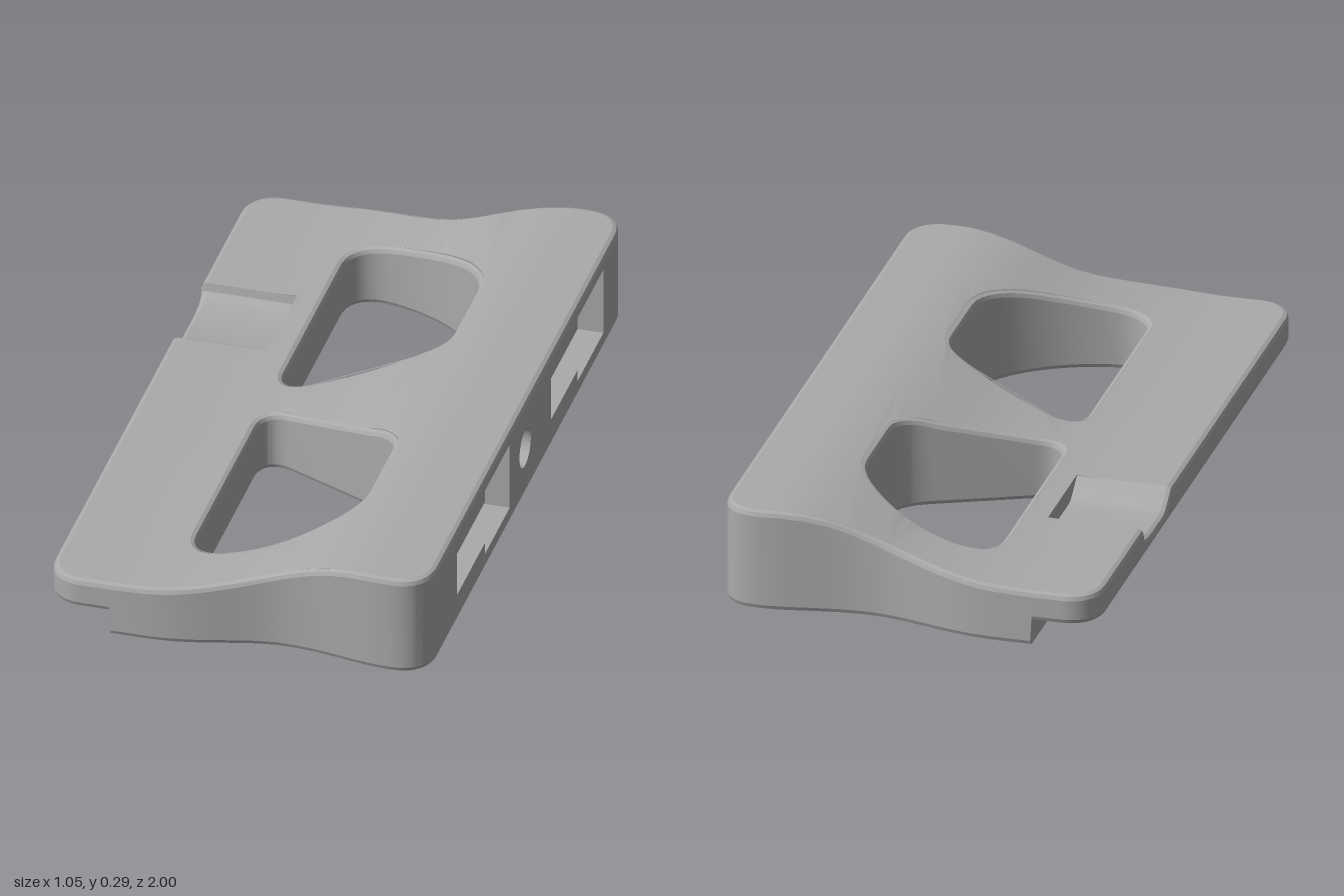
import * as THREE from 'three';
import { mergeGeometries, toCreasedNormals } from 'three/addons/utils/BufferGeometryUtils.js';

const V = (x, y) => new THREE.Vector2(x, y);
const R = 0.015; // edge rounding
const XL = -0.53, XR = 0.525, NOTCH_X = -0.265;

// Height profiles as [position, height]
const TOP = [[-0.32, 0.158], [-0.24, 0.162], [-0.16, 0.17], [-0.08, 0.182], [0, 0.198], [0.06, 0.214],
  [0.12, 0.234], [0.18, 0.255], [0.24, 0.272], [0.3, 0.283], [0.36, 0.288]];
const BOTTOM = [[-0.352, 0.073], [-0.348, 0.003]].map(([x, y]) => [x, y < 0.01 ? 0 : y]);
const NOTCH = [[-0.525, 0.158], [-0.52, 0.135], [-0.5, 0.119], [-0.46, 0.112], [-0.42, 0.11],
  [-0.32, 0.11], [-0.3, 0.115], [-0.27, 0.135], [-0.24, 0.158]];

function lookup(table, x) {
  if (x <= table[0][0]) return table[0][1];
  for (let i = 1; i < table.length; i++) {
    const [a, ya] = table[i - 1], [b, yb] = table[i];
    if (x <= b) return ya + (yb - ya) * (x - a) / (b - a);
  }
  return table[table.length - 1][1];
}
const topY = (x, z) => (x < XL + 0.01 && z >= -0.525 && z <= -0.24 ? lookup(NOTCH, z) : lookup(TOP, x));
const bottomY = x => lookup(BOTTOM, x);

function fromTriangles(pos) {
  const g = new THREE.BufferGeometry();
  g.setAttribute('position', new THREE.Float32BufferAttribute(pos, 3));
  return g;
}
const quad = (pos, a, b, c, d) => pos.push(...a, ...b, ...c, ...a, ...c, ...d);

// Move a closed loop towards its left side
function inset(loop, d) {
  const n = loop.length;
  return loop.map((p, i) => {
    const a = p.clone().sub(loop[(i + n - 1) % n]).normalize();
    const b = loop[(i + 1) % n].clone().sub(p).normalize();
    const t = a.add(b).normalize();
    return V(p.x - t.y * d, p.y + t.x * d);
  });
}

// Flat region cut into slabs along x so that it can follow a height profile
function cap(contour, holes, table, up) {
  const pts = [contour, ...holes].flat();
  const cuts = [-2, ...table.map(t => t[0]), 2], pos = [];
  const clip = (poly, x, s) => poly.flatMap((p, i) => {
    const q = poly[(i + 1) % poly.length], dp = (p.x - x) * s, dq = (q.x - x) * s;
    const out = dp >= 0 ? [p] : [];
    if (dp * dq < 0) out.push(p.clone().lerp(q, dp / (dp - dq)));
    return out;
  });
  for (const face of THREE.ShapeUtils.triangulateShape(contour, holes)) {
    let tri = face.map(i => pts[i]);
    if (THREE.ShapeUtils.area(tri) < 0) tri.reverse();
    if (up) tri.reverse();
    for (let k = 1; k < cuts.length; k++) {
      const poly = clip(clip(tri, cuts[k - 1], 1), cuts[k], -1);
      for (let i = 2; i < poly.length; i++)
        for (const p of [poly[0], poly[i - 1], poly[i]]) pos.push(p.x, lookup(table, p.x), p.y);
    }
  }
  return fromTriangles(pos);
}

// Upright wall with rounded top and bottom edges
function wall(loop) {
  const k = R * 0.293;
  const levels = [[R, 0, 0], [k, k, 0], [0, R, 0], [0, R, 1], [k, k, 1], [R, 0, 1]];
  const rings = levels.map(([d, dy, isTop]) => inset(loop, d).map((p, i) => {
    const o = loop[i];
    return [p.x, isTop ? topY(o.x, o.y) - dy : bottomY(o.x) + dy, p.y];
  }));
  const pos = [], n = loop.length;
  for (let l = 0; l < 5; l++)
    for (let i = 0; i < n; i++) {
      const j = (i + 1) % n;
      const slotted = l === 2 && loop[i].x === XR && loop[j].x === XR;
      if (!slotted) quad(pos, rings[l][i], rings[l + 1][i], rings[l + 1][j], rings[l][j]);
    }
  return fromTriangles(pos);
}

// Blind recess with floor, sunk from the local z = 0 plane
function recess(points, depth) {
  const pos = [];
  points.forEach((a, i) => {
    const b = points[(i + 1) % points.length];
    quad(pos, [a.x, a.y, 0], [b.x, b.y, 0], [b.x, b.y, -depth], [a.x, a.y, -depth]);
  });
  const floor = new THREE.ShapeGeometry(new THREE.Shape(points)).toNonIndexed().translate(0, 0, -depth);
  floor.deleteAttribute('uv');
  floor.deleteAttribute('normal');
  return mergeGeometries([fromTriangles(pos), floor]);
}

// Outline in (x, z): one half, the notched left edge, then the mirrored half
function makeOutline() {
  const s = new THREE.Shape();
  s.moveTo(XR, 0.86);
  s.bezierCurveTo(XR, 0.93, 0.49, 0.97, 0.42, 0.97);
  s.bezierCurveTo(0.32, 0.97, 0.24, 0.935, 0.12, 0.935);
  s.bezierCurveTo(0, 0.935, -0.1, 1, -0.26, 1);
  s.lineTo(-0.348, 1);
  s.lineTo(-0.352, 1);
  s.lineTo(-0.43, 1);
  s.bezierCurveTo(-0.49, 1, XL, 0.96, XL, 0.89);
  const half = s.getPoints(14);
  const edge = NOTCH.map(([z]) => V(XL, z)).reverse();
  return [...half, ...edge, ...half.map(p => V(p.x, -p.y)).reverse()];
}

// Window opening on the +z side
function makeWindow() {
  const s = new THREE.Shape();
  s.moveTo(-0.19, 0.14);
  s.bezierCurveTo(-0.19, 0.09, -0.16, 0.065, -0.105, 0.088);
  s.lineTo(0.14, 0.195);
  s.bezierCurveTo(0.2, 0.22, 0.235, 0.25, 0.235, 0.31);
  s.lineTo(0.235, 0.52);
  s.bezierCurveTo(0.235, 0.64, 0.08, 0.76, -0.09, 0.786);
  s.bezierCurveTo(-0.15, 0.793, -0.19, 0.765, -0.19, 0.7);
  s.lineTo(-0.19, 0.14);
  return s.getPoints(12).slice(0, -1);
}

export function createModel() {
  const model = new THREE.Group();
  const grey = new THREE.MeshStandardMaterial({ color: 0xaaaaaa });
  grey.name = 'grey';
  const add = (name, geometry) => {
    const mesh = new THREE.Mesh(toCreasedNormals(geometry, 0.35), grey);
    mesh.name = name;
    model.add(mesh);
  };

  // Body shell: rounded walls, sloped top and stepped underside
  const outline = makeOutline();
  const win = makeWindow();
  const windows = [win.slice().reverse(), win.map(p => V(p.x, -p.y))];
  const rim = inset(outline, R), windowRims = windows.map(w => inset(w, R));
  const first = outline.findIndex(p => p.x === XL && p.y === -0.24), last = first + NOTCH.length - 1;
  const topRim = [...rim.slice(0, first + 1), V(NOTCH_X, -0.24), V(NOTCH_X, -0.525), ...rim.slice(last)];
  const nut = [V(0.335, -0.05), V(0.435, -0.05), V(0.435, 0.09), V(0.335, 0.09)];
  add('body', mergeGeometries([
    ...[outline, ...windows].map(wall),
    cap(topRim, windowRims, TOP, true),
    cap(rim, [...windowRims, nut], BOTTOM, false),
  ]));

  // Curved notch in the low edge
  const notch = [];
  for (let i = 1; i < NOTCH.length; i++) {
    const [a, ya] = NOTCH[i - 1], [b, yb] = NOTCH[i], x0 = XL + R, h = lookup(TOP, NOTCH_X);
    quad(notch, [x0, ya, a], [x0, yb, b], [NOTCH_X, yb, b], [NOTCH_X, ya, a]);
    quad(notch, [NOTCH_X, ya, a], [NOTCH_X, yb, b], [NOTCH_X, h, b], [NOTCH_X, h, a]);
  }
  add('notch', fromTriangles(notch));

  // Tall face with two keyed slots and a round bore; local x runs along -z
  const slot = z => [[0, 0.05], [0, 0.25], [0.24, 0.25], [0.24, 0.215], [0.51, 0.215],
    [0.51, 0.085], [0.24, 0.085], [0.24, 0.05]].map(([d, y]) => V(-z - d, y)).reverse();
  const slotA = slot(0.17);
  const slotB = [[0, 0.05], [0.25, 0.05], [0.25, 0.25], [0, 0.25], [0, 0.215], [-0.26, 0.215],
    [-0.26, 0.085], [0, 0.085]].map(([d, y]) => V(0.49 + d, y));
  const bore = new THREE.Path().absarc(-0.02, 0.148, 0.055, 0, Math.PI * 2).getPoints(16).slice(0, -1);
  for (const loop of [slotA, slotB]) if (THREE.ShapeUtils.isClockWise(loop)) loop.reverse();
  const face = new THREE.Shape([V(-0.86, R), V(0.86, R), V(0.86, 0.288 - R), V(-0.86, 0.288 - R)]);
  face.holes = [slotA, slotB, bore].map(p => new THREE.Path(p));
  const place = g => g.rotateY(Math.PI / 2).translate(XR, 0, 0);
  add('slottedFace', place(new THREE.ShapeGeometry(face)));
  add('frontSlot', place(recess(slotA, 0.12)));
  add('backSlot', place(recess(slotB, 0.12)));
  add('bore', place(recess(bore, 0.25)));

  // Square nut pocket in the underside
  add('nutPocket', recess(nut, 0.21).rotateX(Math.PI / 2));
  return model;
}
